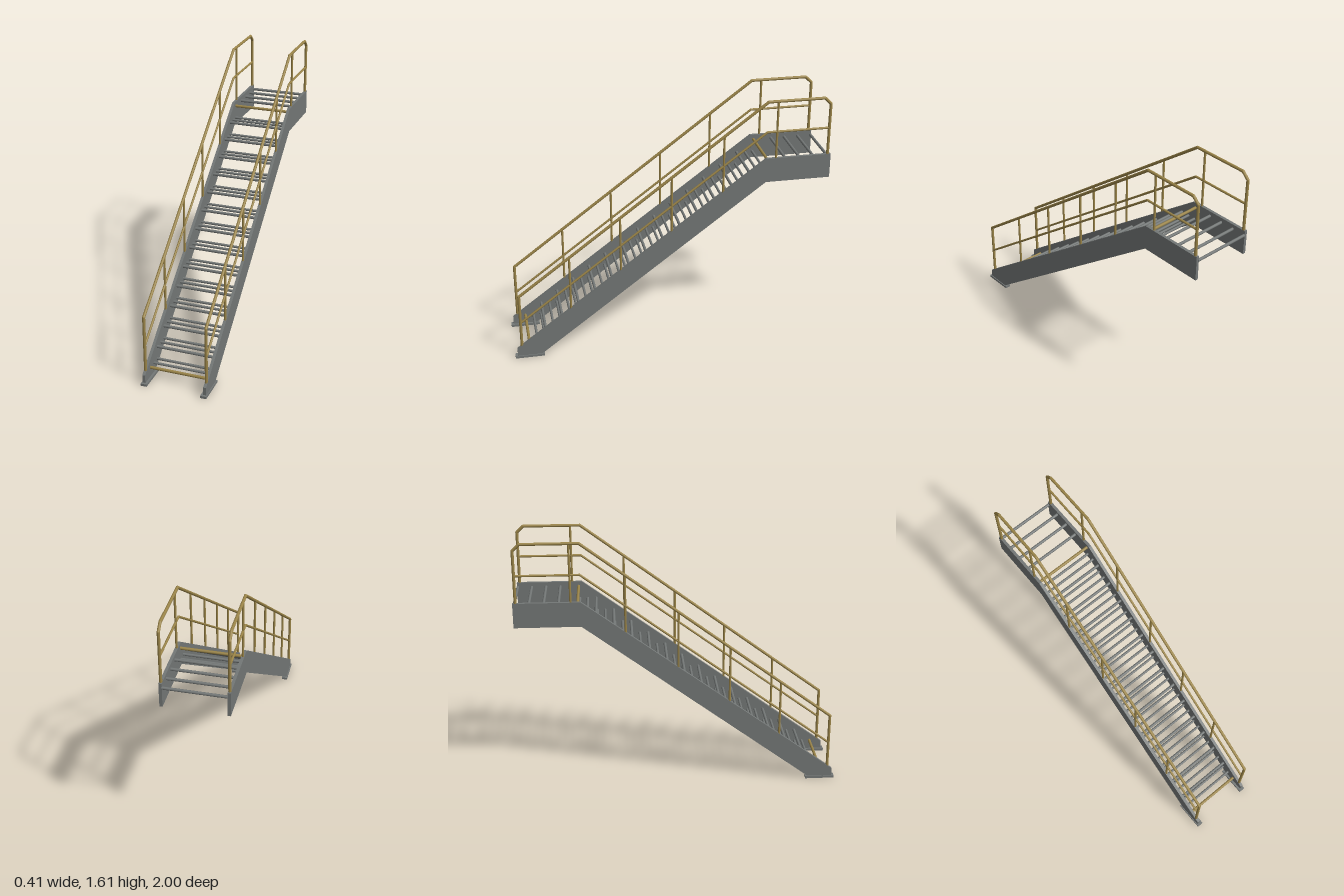
import * as THREE from 'three';

export function createModel() {
  const root = new THREE.Group();
  root.name = 'staircase';
  const steel = new THREE.MeshStandardMaterial({ color: 0x737776 });
  steel.name = 'grey steel';
  const yellow = new THREE.MeshStandardMaterial({ color: 0x9a8448 });
  yellow.name = 'muted yellow';

  const add = (parent, geometry, material, name) => {
    const mesh = new THREE.Mesh(geometry, material);
    mesh.name = name;
    parent.add(mesh);
    return mesh;
  };

  // Round bar between two points
  const pipe = (parent, a, b, r, material, name) => {
    const dir = b.clone().sub(a);
    const mesh = add(parent, new THREE.CylinderGeometry(r, r, dir.length(), 12), material, name);
    mesh.position.copy(a).add(b).multiplyScalar(0.5);
    mesh.quaternion.setFromUnitVectors(new THREE.Vector3(0, 1, 0), dir.normalize());
  };

  // Run of pipes through [z, y] points, with rounded joints
  const railRun = (parent, x, points, r, name) => {
    const pts = points.map(([z, y]) => new THREE.Vector3(x, y, z));
    for (let i = 1; i < pts.length; i++) {
      pipe(parent, pts[i - 1], pts[i], r, yellow, name);
      if (i < pts.length - 1) {
        add(parent, new THREE.SphereGeometry(r, 12, 8), yellow, name + 'Joint').position.copy(pts[i]);
      }
    }
  };

  // Side stringer outline, [z, y]
  const outline = [
    [0.985, 0.015], [0.83, 0.015], [-0.59, 1.085], [-0.995, 1.085],
    [-0.995, 1.24], [-0.59, 1.24], [0.985, 0.065],
  ];
  const stringerShape = new THREE.Shape(outline.map(([z, y]) => new THREE.Vector2(-z, y)));
  const stringerGeometry = new THREE.ExtrudeGeometry(stringerShape, { depth: 0.018, bevelEnabled: false });
  stringerGeometry.rotateY(Math.PI / 2).translate(-0.009, 0, 0);

  // Height of the sloping top rail at a given z
  const slope = (1.603 - 0.44) / (0.955 + 0.59);
  const railHeight = (z) => 0.44 + Math.min(0.955 - z, 1.545) * slope;
  const stringerTop = (z) => Math.min(1.24, 0.065 + (0.985 - z) * 0.746);

  for (const side of [-1, 1]) {
    const x = side * 0.191;
    const half = new THREE.Group();
    half.name = side > 0 ? 'leftSide' : 'rightSide';
    root.add(half);

    add(half, stringerGeometry, steel, 'stringer').position.x = x;
    add(half, new THREE.BoxGeometry(0.038, 0.015, 0.185), steel, 'basePlate')
      .position.set(side * 0.187, 0.0075, 0.9075);

    // Handrail with its end posts
    railRun(half, x, [
      [0.955, 0.07], [0.955, 0.44], [-0.59, 1.603], [-0.938, 1.603], [-0.977, 1.565], [-0.977, 1.23],
    ], 0.009, 'handrail');
    railRun(half, x, [[0.955, 0.25], [-0.59, 1.41], [-0.977, 1.41]], 0.007, 'midRail');

    // Intermediate posts
    for (const z of [0.635, 0.315, -0.005, -0.325, -0.65]) {
      railRun(half, x, [[z, stringerTop(z) - 0.01], [z, railHeight(z)]], 0.007, 'post');
    }
  }

  // Cross bar between the stringers
  const crossBar = (z, y, r, material, name) =>
    pipe(root, new THREE.Vector3(-0.184, y, z), new THREE.Vector3(0.184, y, z), r, material, name);

  // Treads of three bars; the first and last nosings are yellow
  const steps = 15;
  for (let i = 0; i < steps; i++) {
    const z = 0.905 - i * 0.1082;
    const y = 0.075 + i * 0.0811;
    const last = i === steps - 1;
    crossBar(z, y, 0.009, i === 0 || last ? yellow : steel, 'treadNosing');
    if (!last) {
      crossBar(z - 0.053, y, 0.008, steel, 'treadMiddleBar');
      crossBar(z - 0.102, y, 0.008, steel, 'treadBackBar');
    }
  }

  // Landing bars
  for (const z of [-0.725, -0.814, -0.903, -0.99]) crossBar(z, 1.21, 0.009, steel, 'landingBar');

  return root;
}
